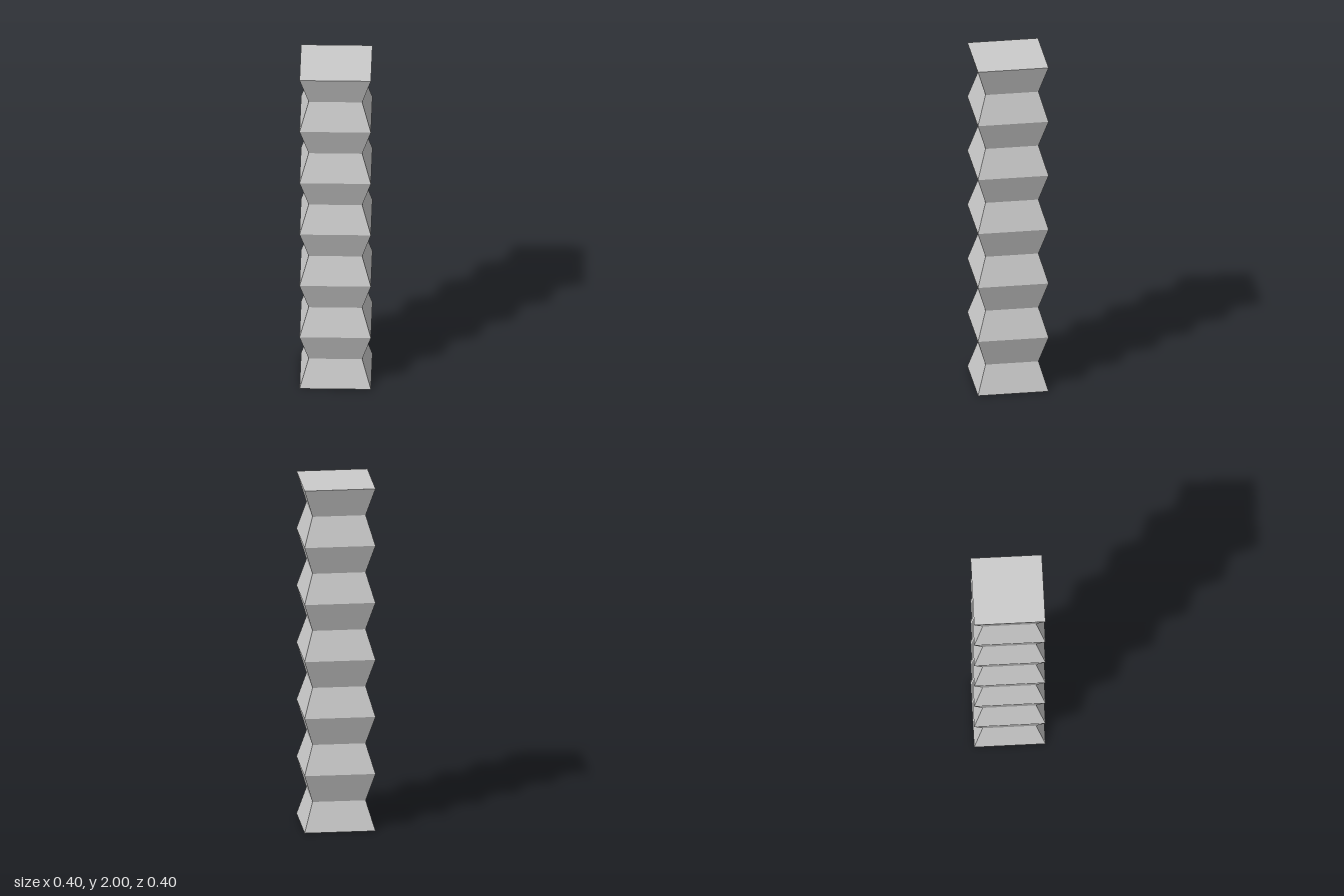
import * as THREE from 'three';

const HEIGHT = 2;
const WIDE = 0.4; // full width at the ridges
const NARROW = 0.3; // full width at the grooves
const BANDS = 12; // alternating tapers, six full units

export function createModel() {
  const group = new THREE.Group();
  group.name = 'zigzagColumn';

  // Square shaft: every second ring of vertices is pulled in
  const box = new THREE.BoxGeometry(WIDE, HEIGHT, WIDE, 1, BANDS, 1);
  box.translate(0, HEIGHT / 2, 0);
  const pos = box.attributes.position;
  for (let i = 0; i < pos.count; i++) {
    const ring = Math.round((pos.getY(i) / HEIGHT) * BANDS);
    const scale = ring % 2 ? NARROW / WIDE : 1;
    pos.setX(i, pos.getX(i) * scale);
    pos.setZ(i, pos.getZ(i) * scale);
  }

  // Separate the faces so each taper is shaded flat
  const geometry = box.toNonIndexed();
  geometry.computeVertexNormals();

  const material = new THREE.MeshStandardMaterial({ color: 0xcccccc, flatShading: true });
  const shaft = new THREE.Mesh(geometry, material);
  shaft.name = 'shaft';
  group.add(shaft);
  return group;
}
